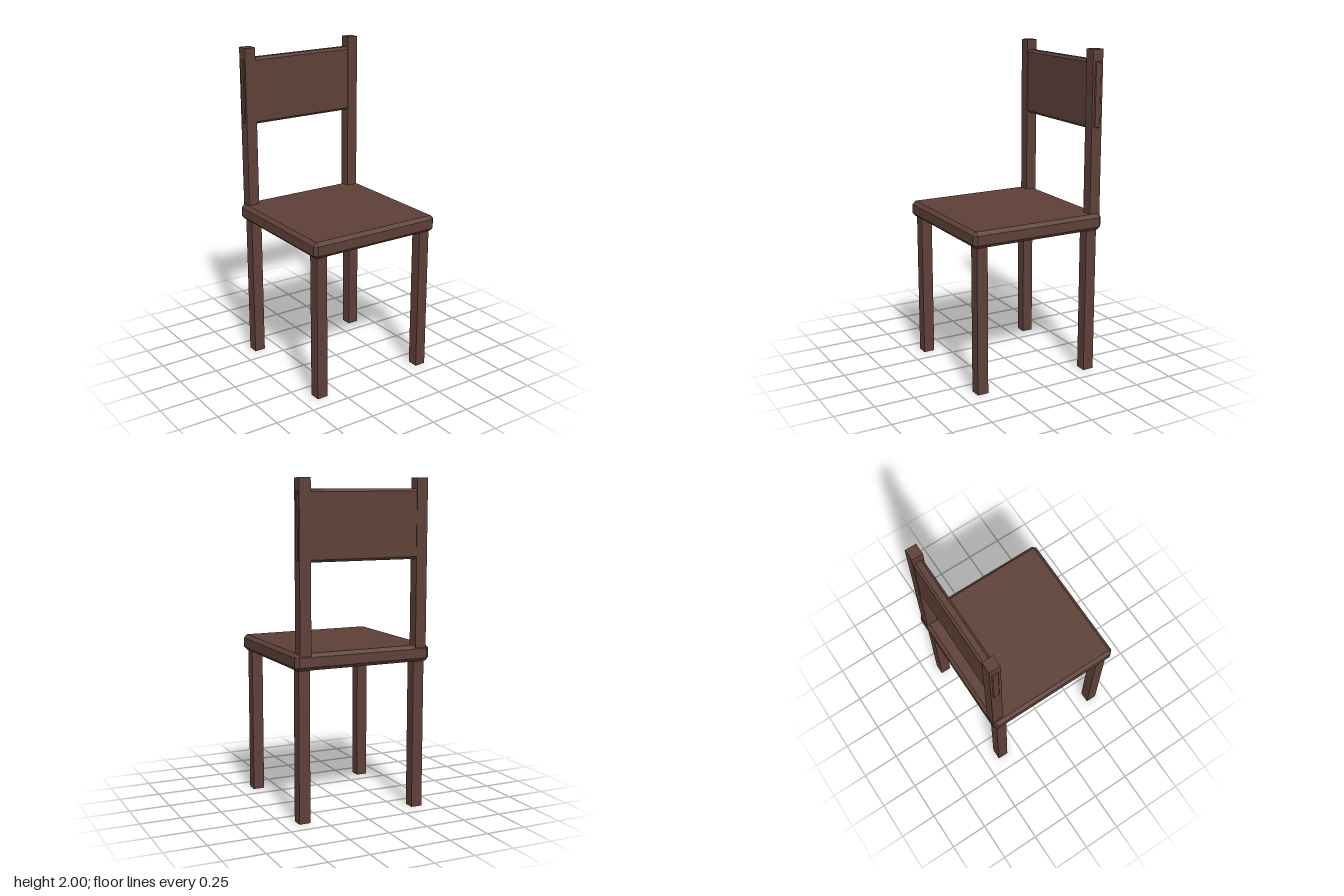
import * as THREE from 'three';
import { ConvexGeometry } from 'three/addons/geometries/ConvexGeometry.js';

// Box with every edge and corner chamfered by c
function chamferedBox(w, h, d, c) {
  const half = [w / 2, h / 2, d / 2];
  const points = [];
  for (const sx of [-1, 1]) for (const sy of [-1, 1]) for (const sz of [-1, 1]) {
    // each corner gives three points, one on each adjoining face
    for (let face = 0; face < 3; face++) {
      const p = [sx, sy, sz].map((s, i) => s * (half[i] - (i === face ? 0 : c)));
      points.push(new THREE.Vector3(...p));
    }
  }
  return new ConvexGeometry(points);
}

export function createModel() {
  const chair = new THREE.Group();
  chair.name = 'chair';
  const wood = new THREE.MeshStandardMaterial({ color: 0x5d4037 });
  wood.name = 'dark brown wood';

  const add = (name, geometry, x, y, z) => {
    const mesh = new THREE.Mesh(geometry, wood);
    mesh.name = name;
    mesh.position.set(x, y, z);
    chair.add(mesh);
  };

  // Seat
  add('seat', chamferedBox(0.874, 0.1, 0.874, 0.021), 0, 0.961, 0);

  // Legs and back posts
  const leg = new THREE.BoxGeometry(0.07, 0.93, 0.07);
  const post = new THREE.BoxGeometry(0.07, 1.04, 0.07);
  for (const [side, x] of [['left', 0.375], ['right', -0.375]]) {
    add(`${side}FrontLeg`, leg, x, 0.465, 0.375);
    add(`${side}BackLeg`, leg, x, 0.465, -0.375);
    add(`${side}BackPost`, post, x, 1.48, -0.397);
  }

  // Backrest panel, its ends just showing through the posts
  add('backrest', chamferedBox(0.83, 0.41, 0.061, 0.0145), 0, 1.732, -0.398);

  return chair;
}
